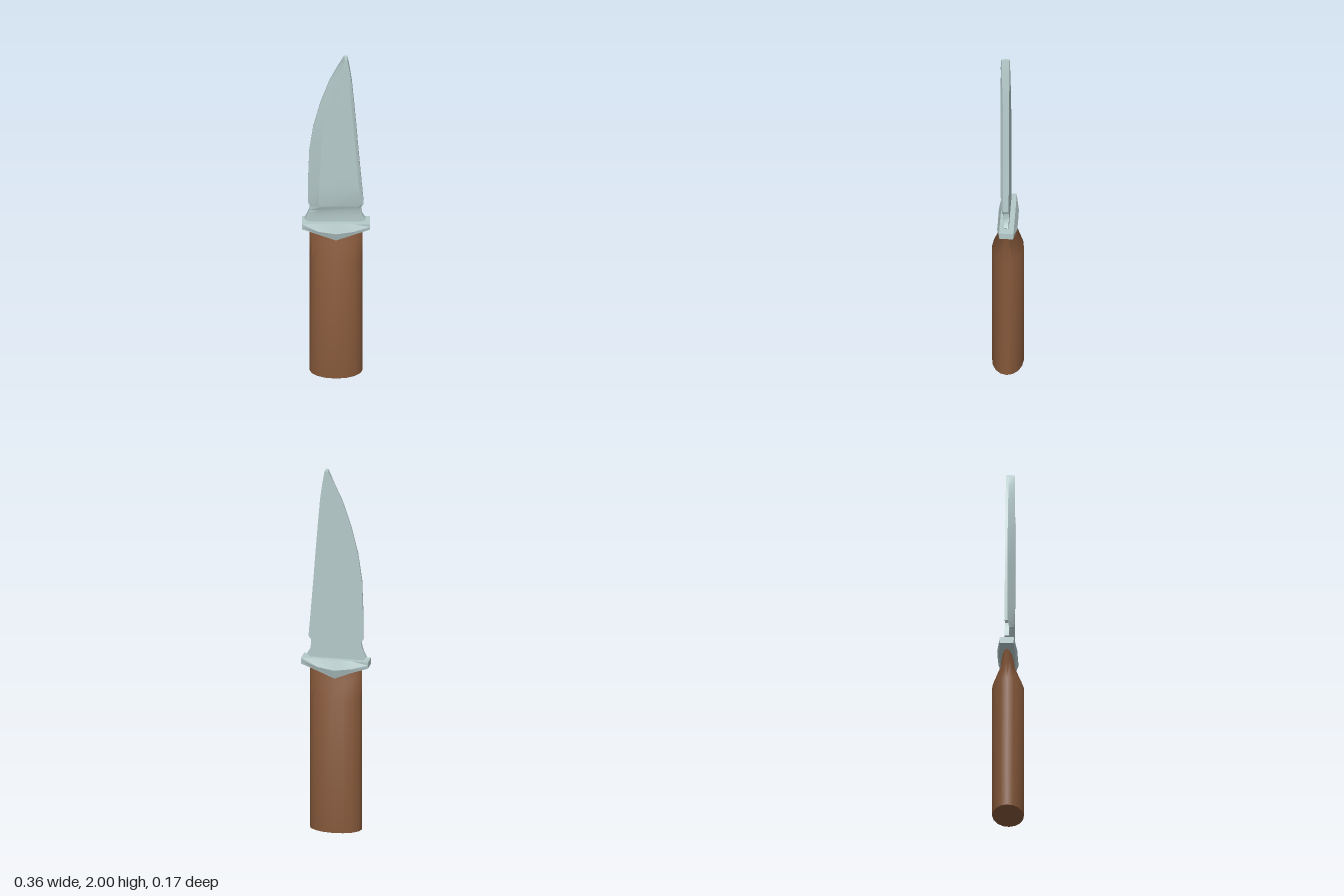
import * as THREE from 'three';
import { toCreasedNormals } from 'three/addons/utils/BufferGeometryUtils.js';

// Skin a list of equal-length closed cross-sections and cap both ends.
function loft(sections, crease) {
  const n = sections[0].length;
  const index = [];
  for (let i = 0; i < sections.length - 1; i++) {
    for (let j = 0; j < n; j++) {
      const a = i * n + j, b = i * n + (j + 1) % n;
      index.push(a, b, b + n, a, b + n, a + n);
    }
  }
  const last = (sections.length - 1) * n;
  for (let k = 1; k < n - 1; k++) {
    index.push(0, k + 1, k);
    index.push(last, last + k, last + k + 1);
  }
  const geometry = new THREE.BufferGeometry();
  geometry.setAttribute('position', new THREE.Float32BufferAttribute(sections.flat(2), 3));
  geometry.setIndex(index);
  return toCreasedNormals(geometry, crease);
}

export function createModel() {
  const steel = new THREE.MeshStandardMaterial({ color: 0xb6caca });
  steel.name = 'steel';
  const wood = new THREE.MeshStandardMaterial({ color: 0x85583a });
  wood.name = 'wood';

  const group = new THREE.Group();
  const add = (name, geometry, material) => {
    const mesh = new THREE.Mesh(geometry, material);
    mesh.name = name;
    group.add(mesh);
  };

  // Handle: oval grip, pinched front to back below the guard. Rows: y, half depth.
  const SIDES = 16;
  const grip = [[0, 0.084], [0.74, 0.084], [0.84, 0.038], [0.9, 0.034], [0.93, 0.025]];
  add('handle', loft(grip.map(([y, depth]) =>
    Array.from({ length: SIDES }, (_, i) => {
      const t = i / SIDES * Math.PI * 2;
      return [0.14 * Math.sin(t), y, depth * Math.cos(t)];
    })), 0.7), wood);

  // Guard: crossbar with a bulging middle that comes to a point below.
  // Rows: x, middle y, middle z, bottom y, bottom z.
  const bar = [
    [-0.18, 0.938, 0.038, 0.92, 0.036],
    [-0.09, 0.915, 0.053, 0.89, 0.044],
    [0, 0.9, 0.053, 0.85, 0.038],
    [0.09, 0.915, 0.053, 0.89, 0.044],
    [0.18, 0.938, 0.038, 0.92, 0.036],
  ];
  add('guard', loft(bar.map(([x, my, mz, by, bz]) => [
    [x, 0.955, -0.038], [x, 0.955, 0.038], [x, my, mz],
    [x, by, bz], [x, by, -bz], [x, my, -mz],
  ]), 0.25), steel);

  // Blade: flat back, ground edge on the -x side, thick spine on the +x side.
  // Rows: y, edge x, edge z, ridge x, ridge z, spine x, spine z, face z beside the spine.
  const rows = [
    [0.95, -0.14, 0.012, -0.09, 0.014, 0.13, 0.014, 0.014],
    [0.97, -0.165, 0.012, -0.09, 0.014, 0.155, 0.014, 0.014],
    [1.0, -0.15, 0.012, -0.09, 0.015, 0.137, 0.014, 0.015],
    [1.03, -0.14, 0.011, -0.09, 0.022, 0.132, 0.016, 0.019],
    [1.055, -0.138, 0.008, -0.09, 0.033, 0.134, 0.018, 0.026],
    [1.07, -0.148, 0.005, -0.09, 0.038, 0.146, 0.018, 0.03],
    [1.2, -0.148, 0.004, -0.088, 0.041, 0.135, 0.019, 0.033],
    [1.4, -0.141, 0.003, -0.079, 0.041, 0.119, 0.02, 0.034],
    [1.55, -0.12, 0.003, -0.068, 0.041, 0.108, 0.021, 0.035],
    [1.7, -0.083, 0.003, -0.041, 0.04, 0.096, 0.022, 0.035],
    [1.84, -0.036, 0.003, -0.003, 0.038, 0.084, 0.026, 0.035],
    [1.93, 0.006, 0.003, 0.026, 0.037, 0.072, 0.031, 0.035],
    [2.0, 0.043, 0, 0.048, 0.034, 0.06, 0.032, 0.034],
  ];
  const BACK = -0.011;
  add('blade', loft(rows.map(([y, ex, ez, rx, rz, sx, sz, fz]) => {
    const inset = Math.min(0.014, (sx - rx) * 0.4);
    return [
      [ex, y, ez], [rx, y, rz], [sx - inset, y, fz],
      [sx, y, sz], [sx, y, BACK], [ex, y, BACK],
    ];
  }), 0.45), steel);

  return group;
}
